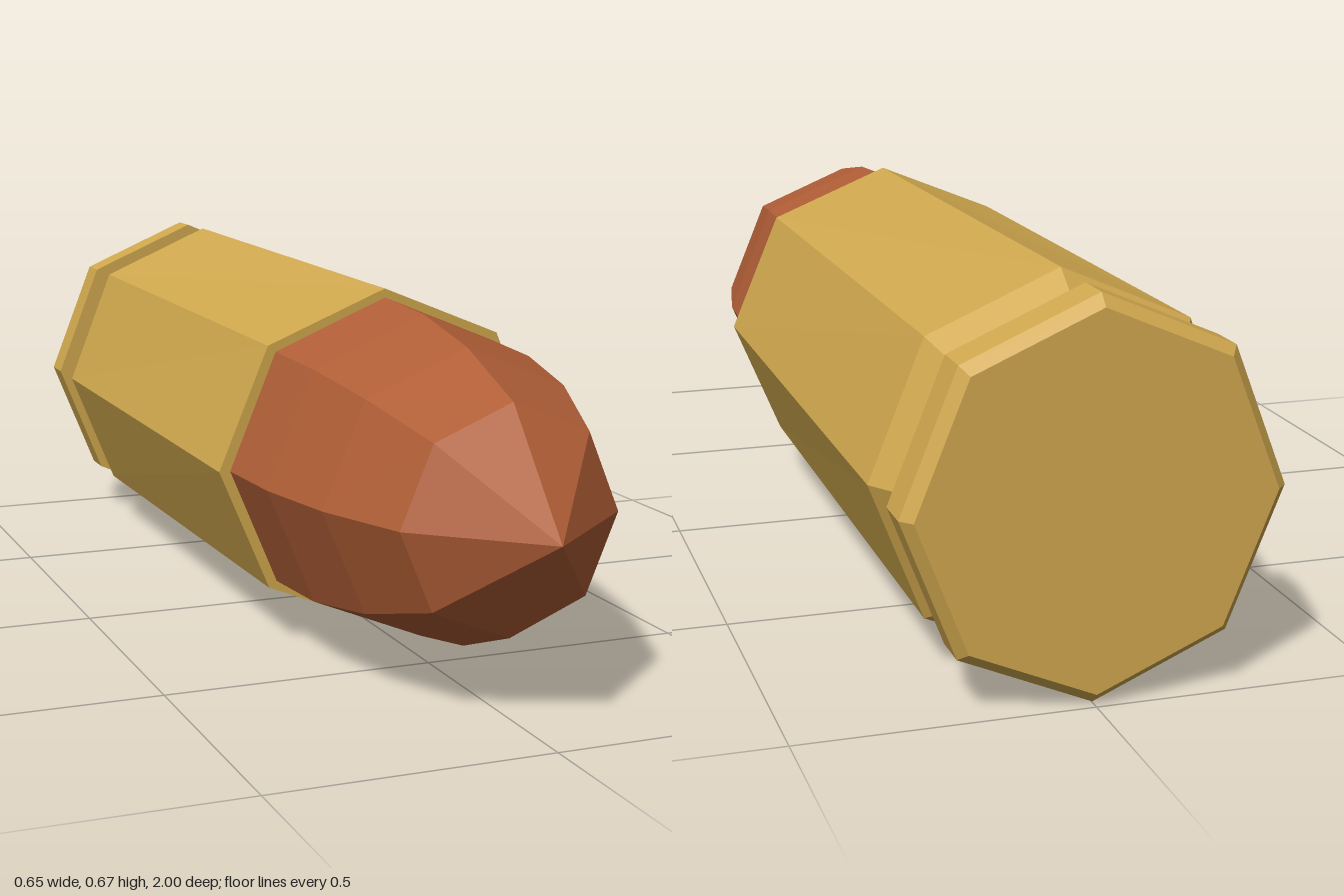
import * as THREE from 'three';

const SIDES = 8;
const AXIS_HEIGHT = 0.338;

// Eight-sided turned part along z; profile is [radius, z] from back to front
function turned(name, color, profile) {
  const points = profile.map(([r, z]) => new THREE.Vector2(r, z));
  const geometry = new THREE.LatheGeometry(points, SIDES).rotateX(Math.PI / 2);
  const material = new THREE.MeshStandardMaterial({ color, flatShading: true });
  const mesh = new THREE.Mesh(geometry, material);
  mesh.name = name;
  mesh.position.y = AXIS_HEIGHT;
  return mesh;
}

// The casing grows slightly taller than wide towards the back
function stretchBack(geometry) {
  const p = geometry.attributes.position;
  for (let i = 0; i < p.count; i++) {
    const t = THREE.MathUtils.clamp((0.29 - p.getZ(i)) / 1.09, 0, 1);
    p.setY(i, p.getY(i) * THREE.MathUtils.lerp(0.987, 1.047, t));
  }
  geometry.computeVertexNormals();
}

export function createModel() {
  const group = new THREE.Group();
  group.name = 'cartridge';

  // Casing with chamfered rim, extractor groove and flat mouth
  const casing = turned('casing', 0xd0a84e, [
    [0, -1], [0.302, -1], [0.321, -0.98], [0.321, -0.912],
    [0.286, -0.912], [0.286, -0.852], [0.322, -0.8],
    [0.326, 0.29], [0.3, 0.29],
  ]);
  stretchBack(casing.geometry);
  group.add(casing);

  // Pointed bullet seated in the mouth
  group.add(turned('bullet', 0xb05e36, [
    [0.305, 0.27], [0.305, 0.29], [0.296, 0.466], [0.263, 0.645], [0.199, 0.822], [0, 1],
  ]));

  return group;
}
